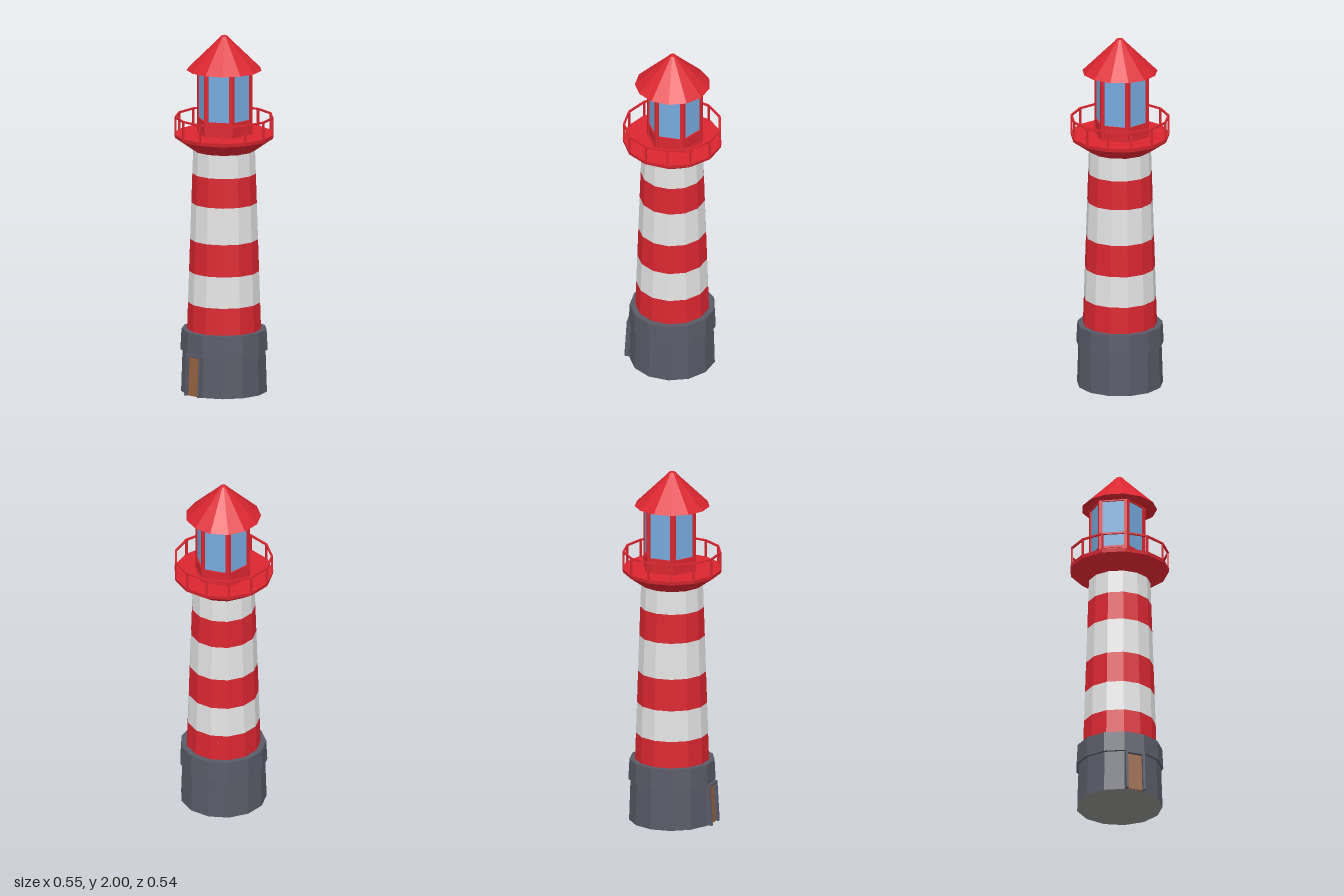
import * as THREE from 'three';

const SIDES = 13;
const mat = (name, color, extra = {}) => new THREE.MeshStandardMaterial({ name, color, ...extra });

// Facetted copy of a geometry
function facet(geo) {
  const g = geo.index ? geo.toNonIndexed() : geo;
  g.computeVertexNormals();
  return g;
}

export function createModel() {
  const red = mat('red paint', 0xdb2630);
  const white = mat('white paint', 0xe4e4e4);
  const stone = mat('dark stone', 0x5a5a68);
  const glass = mat('blue glass', 0x76aade);
  const wood = mat('brown wood', 0x966341);
  const under = mat('grey underside', 0x8a8a88);

  const root = new THREE.Group();
  root.name = 'lighthouse';
  const body = new THREE.Group();
  body.name = 'body';
  body.position.z = 0.003;
  root.add(body);

  const add = (name, geo, material, parent = body) => {
    const m = new THREE.Mesh(facet(geo), material);
    m.name = name;
    parent.add(m);
    return m;
  };
  // Thirteen-sided turned part with a flat face to the front
  const turned = (name, pts, material) => {
    const geo = new THREE.LatheGeometry(pts.map(p => new THREE.Vector2(...p)), SIDES);
    geo.rotateY(Math.PI);
    return add(name, geo, material);
  };

  // Stone base with a wider upper course
  turned('baseWall', [[0.238, 0], [0.23, 0.24]], stone);
  turned('baseUnderside', [[0, 0], [0.238, 0]], under);
  turned('baseCourse', [[0.225, 0.233], [0.242, 0.235], [0.236, 0.35], [0, 0.35]], stone);

  // Striped tapering tower
  const stripes = [0.35, 0.5, 0.675, 0.855, 1.06, 1.225, 1.36];
  const towerR = y => 0.205 - (y - 0.35) * 0.033;
  for (let i = 0; i < stripes.length - 1; i++) {
    const [a, b] = [stripes[i], stripes[i + 1]];
    turned('towerStripe' + (i + 1), [[towerR(a), a], [towerR(b), b]], i % 2 ? white : red);
  }

  // Door and frame on the face left of the front one
  const door = new THREE.Group();
  door.name = 'doorway';
  door.rotation.order = 'YXZ';
  door.rotation.set(-0.06, -2 * Math.PI / SIDES, 0);
  door.position.set(0.26 * Math.sin(door.rotation.y), 0, 0.26 * Math.cos(door.rotation.y));
  body.add(door);
  const arch = new THREE.Shape([[-0.056, 0.003], [-0.043, 0.003], [-0.043, 0.219], [0.043, 0.219],
    [0.043, 0.003], [0.056, 0.003], [0.056, 0.234], [-0.056, 0.234]].map(p => new THREE.Vector2(...p)));
  const frameGeo = new THREE.ExtrudeGeometry(arch, { depth: 0.045, bevelEnabled: false });
  frameGeo.translate(0, 0, -0.045);
  add('doorFrame', frameGeo, stone, door);
  add('door', new THREE.BoxGeometry(0.088, 0.218, 0.009).translate(0, 0.112, -0.022), wood, door);

  // Flared gallery
  turned('gallery', [[0.16, 1.355], [0.172, 1.355], [0.272, 1.425], [0.275, 1.445], [0, 1.445]], red);

  // Gallery railing
  const railR = 0.268, step = 2 * Math.PI / SIDES;
  const railLength = 2 * railR * Math.sin(step / 2);
  for (let i = 0; i < SIDES; i++) {
    const a = Math.PI + i * step, m = a + step / 2, d = railR * Math.cos(step / 2);
    const post = add('railPost', new THREE.BoxGeometry(0.01, 0.1, 0.01), red);
    post.position.set(railR * Math.sin(a), 1.49, railR * Math.cos(a));
    post.rotation.y = a;
    const rail = add('handRail', new THREE.BoxGeometry(railLength + 0.002, 0.01, 0.01), red);
    rail.position.set(d * Math.sin(m), 1.54, d * Math.cos(m));
    rail.rotation.y = m;
  }

  // Six-sided lantern room
  const lantern = new THREE.Group();
  lantern.name = 'lantern';
  lantern.position.set(-0.002, 0, -0.014);
  lantern.rotation.y = 2 * Math.PI / 180;
  body.add(lantern);
  const hex = (r, y0, y1) =>
    new THREE.CylinderGeometry(r, r, y1 - y0, 6).rotateY(Math.PI / 6).translate(0, (y0 + y1) / 2, 0);
  add('lanternGlass', hex(0.148, 1.52, 1.806), glass, lantern);
  add('lanternSill', hex(0.152, 1.44, 1.522), red, lantern);

  // Frames around the panes
  const R = 0.157, half = R / 2;
  const rect = (C, x, y0, y1) => new C([[-x, y0], [x, y0], [x, y1], [-x, y1]].map(p => new THREE.Vector2(...p)));
  const frame = rect(THREE.Shape, half, 1.44, 1.808);
  frame.holes.push(rect(THREE.Path, 0.06, 1.528, 1.798), rect(THREE.Path, 0.06, 1.455, 1.515));
  for (let i = 0; i < 6; i++) {
    const geo = new THREE.ExtrudeGeometry(frame, { depth: 0.01, bevelEnabled: false });
    geo.translate(0, 0, R * Math.cos(Math.PI / 6) - 0.01);
    add('windowFrame', geo, red, lantern).rotation.y = i * Math.PI / 3;
  }

  // Conical roof with a blunt tip
  turned('roof', [[0, 1.805], [0.208, 1.805], [0.032, 1.978], [0.018, 1.994], [0, 2]], red);

  return root;
}
